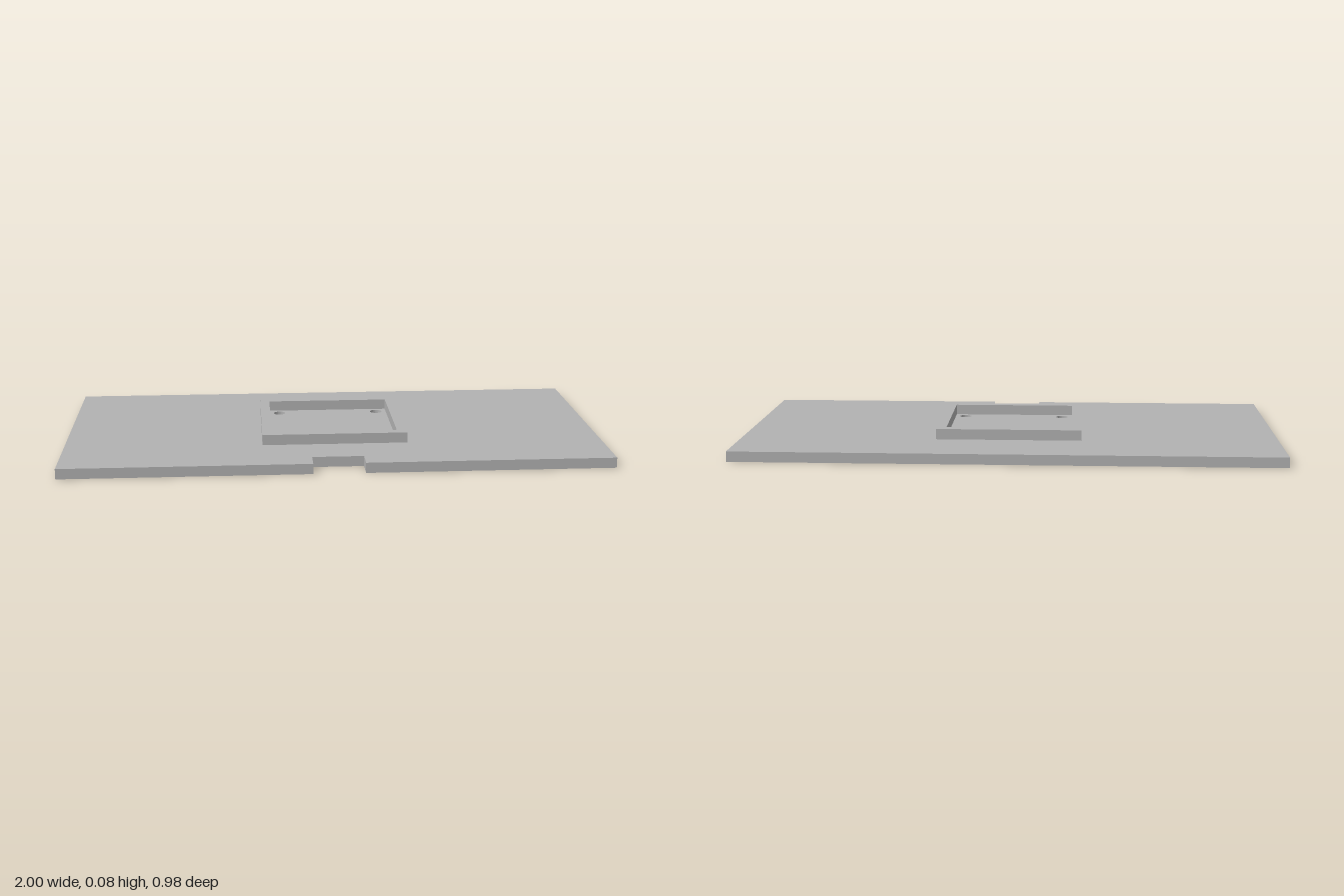
import * as THREE from 'three';

const PLATE_TOP = 0.038;
const FRAME_TOP = 0.077;

// Lay a plan outline flat and extrude it upward from y0 to y1 (shape y points to -z)
function slab(shape, y0, y1) {
  const geometry = new THREE.ExtrudeGeometry(shape, {
    depth: y1 - y0, bevelEnabled: false, curveSegments: 12,
  });
  geometry.rotateX(-Math.PI / 2);
  geometry.translate(0, y0, 0);
  return geometry;
}

function rectPoints(hx, hz) {
  return [[-hx, -hz], [hx, -hz], [hx, hz], [-hx, hz]].map(([x, y]) => new THREE.Vector2(x, y));
}

export function createModel() {
  const model = new THREE.Group();
  model.name = 'mountingPlate';
  const grey = new THREE.MeshStandardMaterial({ color: 0xb2b2b2 });
  grey.name = 'grey';

  const add = (name, geometry) => {
    const mesh = new THREE.Mesh(geometry, grey);
    mesh.name = name;
    model.add(mesh);
  };

  // Base plate with a notch in the middle of its front edge
  const plate = new THREE.Shape([
    [-1, -0.49], [-0.094, -0.49], [-0.094, -0.41], [0.094, -0.41],
    [0.094, -0.49], [1, -0.49], [1, 0.49], [-1, 0.49],
  ].map(([x, y]) => new THREE.Vector2(x, y)));

  // Four screw holes inside the frame
  for (const x of [-0.194, 0.194]) {
    for (const z of [-0.18, 0.18]) {
      plate.holes.push(new THREE.Path().absarc(x, z, 0.023, 0, Math.PI * 2, true));
    }
  }
  add('basePlate', slab(plate, 0, PLATE_TOP));

  // Raised rectangular rim
  const frame = new THREE.Shape(rectPoints(0.27, 0.254));
  frame.holes.push(new THREE.Path(rectPoints(0.234, 0.217).reverse()));
  add('raisedFrame', slab(frame, PLATE_TOP, FRAME_TOP));

  return model;
}
